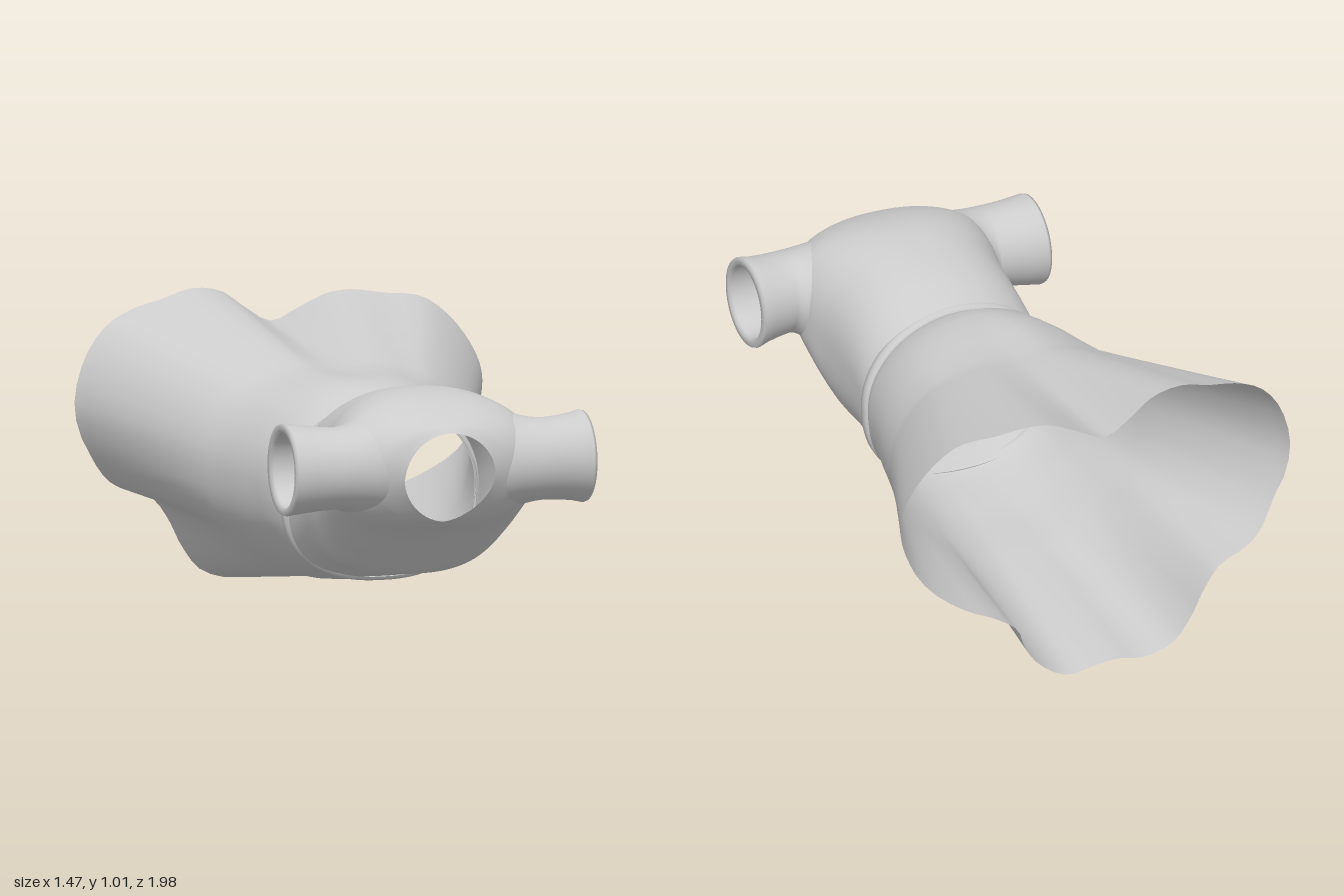
import * as THREE from 'three';

const N = 96; // points around every ring
const V = (x, y, z) => new THREE.Vector3(x, y, z);
const lerp = THREE.MathUtils.lerp;
const cloth = new THREE.MeshStandardMaterial({ color: 0xcccccc, side: THREE.DoubleSide });

// Skin a list of closed rings; faces whose centre satisfies skip() are left open
function loft(name, rings, skip = () => false) {
  const n = rings[0].length, pos = [], index = [];
  rings.forEach(r => r.forEach(p => pos.push(p.x, p.y, p.z)));
  for (let i = 0; i < rings.length - 1; i++) {
    for (let j = 0; j < n; j++) {
      const k = (j + 1) % n;
      const mid = rings[i][j].clone().add(rings[i + 1][k]).multiplyScalar(0.5);
      if (skip(mid)) continue;
      const a = i * n + j, b = i * n + k, c = a + n, d = b + n;
      index.push(a, b, c, b, d, c);
    }
  }
  const g = new THREE.BufferGeometry();
  g.setAttribute('position', new THREE.Float32BufferAttribute(pos, 3));
  g.setIndex(index);
  g.computeVertexNormals();
  const mesh = new THREE.Mesh(g, cloth);
  mesh.name = name;
  return mesh;
}

// Rounded section with its own squareness above (nt) and below (nb)
function section(theta, rx, ry, nt, nb) {
  const c = Math.cos(theta), s = Math.sin(theta), n = s < 0 ? nb : nt;
  return [rx * Math.sign(c) * Math.abs(c) ** (2 / n), ry * Math.sign(s) * Math.abs(s) ** (2 / n)];
}

// Skirt: gathered waist rings blending into the wavy hem outline
function skirt() {
  const outline = [
    [0.735, 0.63], [0.73, 0.71], [0.69, 0.8], [0.62, 0.89], [0.53, 0.955], [0.4, 0.97], [0.29, 0.985],
    [0.2, 0.975], [0.1, 0.93], [0, 0.888], [-0.1, 0.945], [-0.18, 1.0], [-0.29, 1.015], [-0.4, 0.985],
    [-0.52, 0.955], [-0.62, 0.9], [-0.7, 0.79], [-0.735, 0.63], [-0.68, 0.47], [-0.6, 0.37], [-0.53, 0.33],
    [-0.42, 0.29], [-0.36, 0.21], [-0.32, 0.13], [-0.25, 0.04], [-0.14, 0.005], [-0.04, 0.022],
    [0.05, 0.015], [0.15, 0.002], [0.25, 0.06], [0.31, 0.14], [0.34, 0.22], [0.42, 0.28], [0.53, 0.33],
    [0.64, 0.41], [0.71, 0.53]];
  const curve = new THREE.CatmullRomCurve3(outline.map(([x, y]) => V(x, y, 0)), true);
  const hem = [];
  for (let j = 0; j < N; j++) {
    const p = curve.getPoint(j / N);
    p.z = p.y > 0.5
      ? -0.89 - 0.085 * (1 - (p.x / 0.74) ** 2)
      : -0.89 - 0.1 * THREE.MathUtils.smoothstep(0.48 - p.y, 0, 0.22);
    hem.push(p);
  }
  // z, half width, bottom, top, share of the hem's waviness
  const waist = [[0.225, 0.345, 0.18, 0.77, 0], [0.205, 0.355, 0.17, 0.78, 0], [0.15, 0.378, 0.155, 0.81, 0],
    [0.08, 0.39, 0.145, 0.828, 0.04], [0, 0.415, 0.128, 0.838, 0.1], [-0.1, 0.442, 0.115, 0.84, 0.17],
    [-0.22, 0.478, 0.108, 0.842, 0.25]];
  const rings = waist.map(([z, rx, y0, y1, wave]) => hem.map(p => {
    const [x, y] = section(Math.atan2((p.y - 0.5) / 0.5, p.x / 0.73), rx, (y1 - y0) / 2, 2, 2.2);
    return V(lerp(x, p.x * rx / 0.735, wave) - 0.008, lerp((y0 + y1) / 2 + y, y0 + (y1 - y0) * p.y, wave), z + y * 0.05);
  }));
  const start = rings[rings.length - 1];
  for (let i = 1; i <= 12; i++) rings.push(start.map((p, j) => p.clone().lerp(hem[j], i / 12)));
  return loft('skirt', rings.reverse());
}

// Waistband: a narrow raised ribbon between skirt and bodice
function waistband() {
  const profile = [[0.215, 0.345, 0.295], [0.22, 0.358, 0.31], [0.235, 0.36, 0.314], [0.255, 0.358, 0.313], [0.262, 0.34, 0.3]];
  return loft('waistband', profile.map(([z, rx, ry]) => Array.from({ length: N }, (_, j) => {
    const [x, y] = section(j / N * Math.PI * 2, rx, ry, 2, 2.4);
    return V(x - 0.008, 0.473 + y, z + y * 0.06);
  })));
}

const ARM = { y: 0.645, z: 0.813 };

// Bodice: rings from the waist to the open neckline, with optional armholes
function bodice(armholes) {
  // half width, top y, top z, bottom y, bottom z
  const stations = [
    [0.345, 0.785, 0.25, 0.172, 0.22], [0.338, 0.842, 0.4, 0.215, 0.36], [0.345, 0.88, 0.58, 0.228, 0.56],
    [0.362, 0.885, 0.7, 0.295, 0.66], [0.368, 0.868, 0.8, 0.385, 0.775], [0.33, 0.832, 0.9, 0.43, 0.855],
    [0.25, 0.795, 0.962, 0.45, 0.89], [0.163, 0.77, 0.988, 0.455, 0.905]];
  const top = new THREE.CatmullRomCurve3(stations.map(s => V(s[0], s[1], s[2])));
  const bottom = new THREE.CatmullRomCurve3(stations.map(s => V(0, s[3], s[4])));
  const rings = [], steps = 70;
  for (let i = 0; i <= steps; i++) {
    const t = i / steps, a = top.getPoint(t), b = bottom.getPoint(t);
    const nt = 2 + 0.5 * Math.sin(Math.PI * t), nb = lerp(2.8, 1.7, t ** 4);
    rings.push(Array.from({ length: N }, (_, j) => {
      const [x, y] = section(j / N * Math.PI * 2, a.x, (a.y - b.y) / 2, nt, nb);
      const v = y / (a.y - b.y) + 0.5;
      const bulge = 0.033 * t * t * Math.sin(Math.PI * v);
      return V(x - 0.008, (a.y + b.y) / 2 + y, lerp(b.z, a.z, v) + bulge);
    }));
  }
  return loft('bodice', rings, p => armholes && Math.abs(p.x) > 0.18 && Math.hypot(p.y - ARM.y, p.z - ARM.z) < 0.137);
}

// Sleeve: flared tube growing out of the body surface, with a rolled cuff and inner wall
function sleeve(name, side, end, body) {
  const ring = f => Array.from({ length: 64 }, (_, j) => {
    const a = j / 64 * Math.PI * 2;
    return f(Math.cos(a), side * Math.sin(a));
  });
  // seam: the armhole outline dropped sideways onto the bodice
  const ray = new THREE.Raycaster();
  const seam = ring((c, s) => {
    const y = ARM.y + 0.158 * c, z = ARM.z + (s > 0 ? 0.152 : 0.145) * s;
    ray.set(V(side, y, z), V(-side, 0, 0));
    const hit = ray.intersectObject(body)[0];
    return V(side * Math.max(0.18, hit ? side * hit.point.x - 0.004 : 0), y, z);
  });
  // x, radius, centre z
  const profile = [[0.385, 0.141, 0.828], [0.43, 0.144, 0.822], [0.48, 0.15, 0.815], [end - 0.01, 0.159, 0.81],
    [end, 0.156, 0.81], [end, 0.134, 0.813], [end - 0.012, 0.129, 0.815], [0.45, 0.127, 0.817], [0.38, 0.13, 0.82]];
  const tube = profile.map(([x, r, z]) => ring((c, s) => V(side * x, ARM.y + r * c, z + r * s)));
  const fillet = [0.25, 0.5, 0.75].map(t => seam.map((p, j) => {
    const q = tube[0][j], k = 1 - (1 - t) ** 2;
    return V(lerp(p.x, q.x, t), lerp(p.y, q.y, k), lerp(p.z, q.z, k));
  }));
  return loft(name, [seam, ...fillet, ...tube]);
}

export function createModel() {
  const dress = new THREE.Group();
  dress.name = 'dress';
  const body = bodice(false);
  dress.add(skirt(), waistband(), bodice(true),
    sleeve('leftSleeve', 1, 0.528, body), sleeve('rightSleeve', -1, 0.558, body));
  return dress;
}
